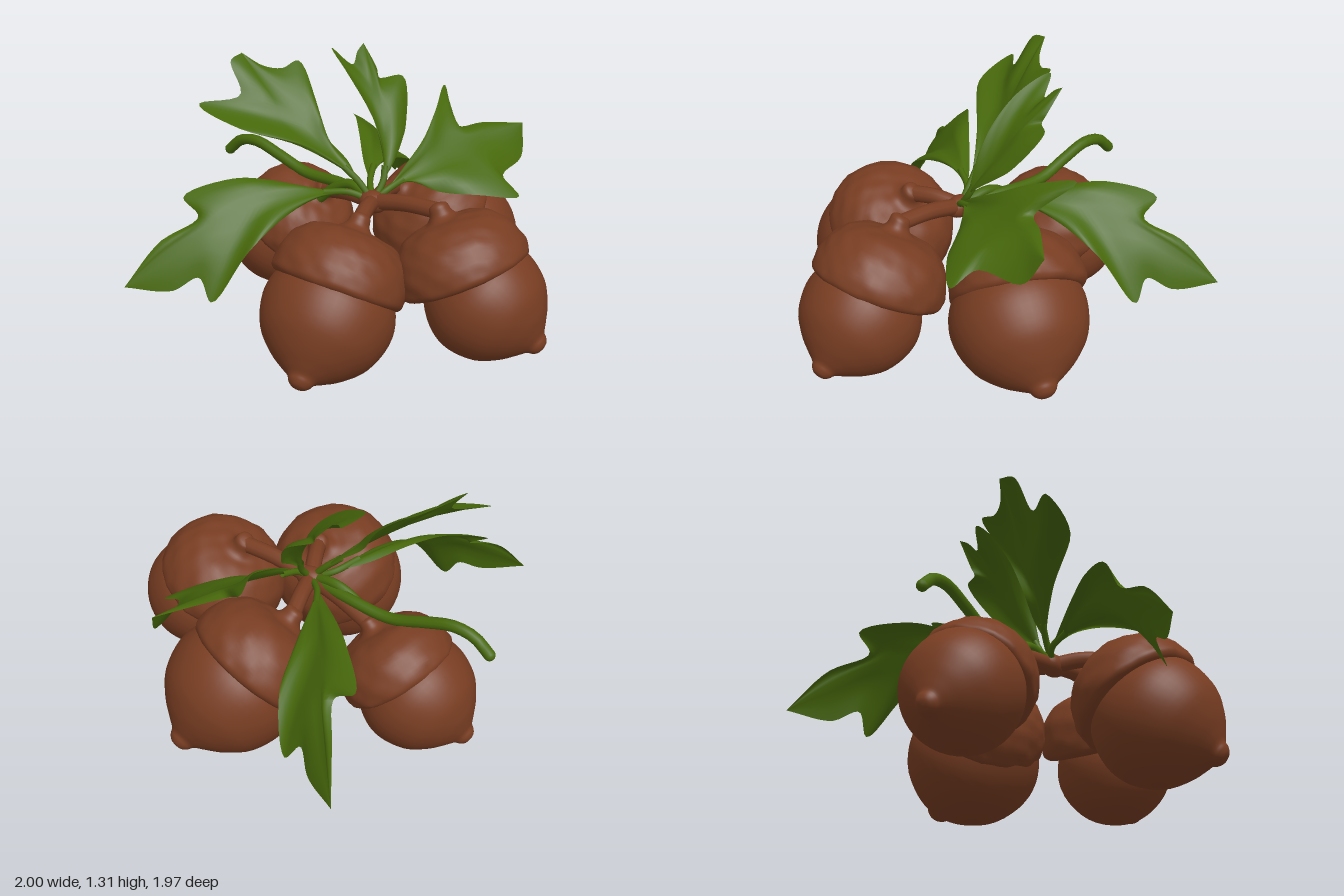
import * as THREE from 'three';
import { mergeVertices } from 'three/addons/utils/BufferGeometryUtils.js';

const brown = new THREE.MeshStandardMaterial({ name: 'acorn brown', color: 0x783d22 });
const green = new THREE.MeshStandardMaterial({ name: 'leaf green', color: 0x47680b, side: THREE.DoubleSide });
const V = (p) => new THREE.Vector3(...p);
const UP = new THREE.Vector3(0, 1, 0);
const HUB = [-0.03, 0.69, 0.03];

function add(parent, name, geometry, material) {
  const mesh = new THREE.Mesh(geometry, material);
  mesh.name = name;
  parent.add(mesh);
  return mesh;
}

// Smooth lathe; profile runs from bottom to top, "lump" roughens the surface
function turned(profile, lump = 0) {
  const curve = new THREE.SplineCurve(profile.map(([x, y]) => new THREE.Vector2(x, y)));
  const pts = curve.getPoints(44).map((p) => p.set(Math.max(p.x, 0), p.y));
  let g = new THREE.LatheGeometry(pts, 48);
  g.deleteAttribute('uv');
  g.deleteAttribute('normal');
  const pos = g.attributes.position, v = new THREE.Vector3();
  for (let i = 0; i < pos.count; i++) {
    v.fromBufferAttribute(pos, i);
    const n = Math.sin(v.x * 11 + 2 * v.y) * Math.sin(v.z * 12 + 1) * Math.sin(v.y * 13 + v.x * 5);
    v.multiplyScalar(1 + lump * n);
    pos.setXYZ(i, v.x, v.y, v.z);
  }
  g = mergeVertices(g, 1e-4);
  g.computeVertexNormals();
  return g;
}

// Egg-shaped nut with a blunt point, and a cap with a dimpled crown and flared neck
const nutGeometry = turned([[0, -0.98], [0.4, -0.91], [0.72, -0.7], [0.95, -0.33], [1, 0.05], [0.86, 0.48],
  [0.6, 0.77], [0.36, 0.94], [0.22, 1.03], [0.17, 1.11], [0.1, 1.17], [0, 1.19]]);
const capGeometry = turned([[0.8, -0.1], [0.95, -0.1], [1.03, -0.04], [1.05, 0.06], [1.03, 0.25], [0.92, 0.52],
  [0.7, 0.75], [0.45, 0.84], [0.27, 0.87], [0.18, 0.96], [0.14, 1.1], [0, 1.13]], 0.02);

// Place a unit part so that its +y axis points along dir
function place(mesh, center, dir, size) {
  mesh.position.set(...center);
  mesh.quaternion.setFromUnitVectors(UP, V(dir).normalize());
  mesh.scale.setScalar(size);
}

// Tube through points
function stem(parent, name, points, radius, material) {
  const curve = new THREE.CatmullRomCurve3(points.map(V));
  return add(parent, name, new THREE.TubeGeometry(curve, 24, radius, 10), material);
}

// Acorn: nut towards its tip, cap on its own axis, and a stalk to the hub
function acorn(parent, name, a) {
  const group = new THREE.Group();
  group.name = name;
  place(add(group, 'nut', nutGeometry, brown), a.nut, a.tip, a.nutSize);
  place(add(group, 'cap', capGeometry, brown), a.cap, a.pole, a.capSize);
  const pole = V(a.pole).normalize();
  const neck = V(a.cap).addScaledVector(pole, a.capSize);
  const mid = neck.clone().lerp(V(HUB), 0.5).add(new THREE.Vector3(0, 0.015, 0));
  stem(group, 'stalk', [neck.toArray(), mid.toArray(), HUB], 0.04, brown);
  parent.add(group);
}

// Leaf blade: two lobed edges joined across a curved midrib
function leaf(parent, name, { base, tip, bend, left, right }, mirror = 1) {
  const m = (p) => V(p).multiply(new THREE.Vector3(mirror, 1, 1));
  const edge = (pts) => new THREE.CatmullRomCurve3([base, ...pts, tip].map(m), false, 'centripetal');
  const L = edge(left), R = edge(right);
  const M = new THREE.QuadraticBezierCurve3(m(base), m(bend), m(tip));
  const lift = L.getPoint(0.5).sub(R.getPoint(0.5)).cross(m(tip).sub(m(base))).normalize();
  if (lift.y < 0) lift.negate();
  const rows = 40, cols = 8, verts = [], index = [];
  for (let i = 0; i <= rows; i++) {
    const t = i / rows, l = L.getPoint(t), r = R.getPoint(t), c = M.getPoint(t ** 1.4);
    for (let j = 0; j <= cols; j++) {
      const s = (2 * j) / cols - 1, k = Math.abs(s);
      const p = c.clone().lerp(s < 0 ? l : r, k);
      p.addScaledVector(lift, 0.025 * Math.sin(Math.PI * k) * Math.sin(Math.PI * t));
      verts.push(p.x, p.y, p.z);
      if (i < rows && j < cols) {
        const a = i * (cols + 1) + j, b = a + cols + 1;
        index.push(a, a + 1, b, a + 1, b + 1, b);
      }
    }
  }
  const g = new THREE.BufferGeometry();
  g.setAttribute('position', new THREE.Float32BufferAttribute(verts, 3));
  g.setIndex(index);
  g.computeVertexNormals();
  const group = new THREE.Group();
  group.name = name;
  add(group, 'blade', g, green);
  stem(group, 'petiole', [HUB, m(base).toArray(), M.getPoint(0.12).toArray()], 0.016, green);
  parent.add(group);
}

export function createModel() {
  const model = new THREE.Group();
  model.name = 'acornCluster';

  acorn(model, 'frontAcorn', { nut: [-0.02, 0.365, 0.68], tip: [0.04, -0.18, 0.29], nutSize: 0.29,
    cap: [-0.03, 0.48, 0.56], pole: [0, 0.88, -0.47], capSize: 0.305 });
  acorn(model, 'rightAcorn', { nut: [-0.53, 0.325, 0.14], tip: [-0.28, -0.2, 0.06], nutSize: 0.315,
    cap: [-0.44, 0.45, 0.13], pole: [0.55, 0.82, 0], capSize: 0.305 });
  acorn(model, 'leftAcorn', { nut: [0.5, 0.34, 0.15], tip: [0.31, -0.21, 0.13], nutSize: 0.33,
    cap: [0.43, 0.45, 0.09], pole: [-0.62, 0.68, -0.38], capSize: 0.31 });
  acorn(model, 'backAcorn', { nut: [0.06, 0.32, -0.62], tip: [0, -0.18, -0.3], nutSize: 0.285,
    cap: [0.06, 0.41, -0.52], pole: [0, 0.75, 0.62], capSize: 0.275 });

  // Hub where the stalks meet
  const hub = add(model, 'hub', new THREE.SphereGeometry(0.055, 20, 14), brown);
  hub.position.set(...HUB);
  hub.scale.z = 1.4;

  // Drooping side leaves, mirrored
  const sideLeaf = {
    base: [0.08, 0.73, -0.07], tip: [1, 0.41, -0.69], bend: [0.6, 0.88, -0.36],
    left: [[0.25, 0.74, -0.14], [0.45, 0.7, -0.18], [0.66, 0.59, -0.22], [0.8, 0.36, -0.33],
      [0.79, 0.46, -0.41], [0.88, 0.4, -0.5]],
    right: [[0.2, 0.76, -0.2], [0.35, 0.82, -0.34], [0.48, 0.84, -0.46], [0.66, 0.77, -0.61],
      [0.67, 0.7, -0.51], [0.84, 0.61, -0.6]],
  };
  leaf(model, 'leftSideLeaf', sideLeaf);
  leaf(model, 'rightSideLeaf', sideLeaf, -1);

  // Leaf spreading to the front left
  leaf(model, 'frontLeaf', {
    base: [0.02, 0.74, 0.07], tip: [0.82, 0.9, 0.34], bend: [0.42, 0.9, 0.2],
    left: [[0.14, 0.83, 0.09], [0.3, 0.92, 0.09], [0.46, 1.01, 0.05], [0.66, 1.07, -0.03],
      [0.55, 0.92, 0.12], [0.66, 0.92, 0.2]],
    right: [[0.12, 0.77, 0.14], [0.2, 0.72, 0.26], [0.3, 0.71, 0.42], [0.46, 0.68, 0.55],
      [0.5, 0.74, 0.43], [0.74, 0.76, 0.39]],
  });

  // Two upright leaves
  leaf(model, 'tallBackLeaf', {
    base: [-0.04, 0.78, -0.05], tip: [-0.15, 1.33, -0.67], bend: [-0.13, 1.04, -0.34],
    left: [[-0.08, 0.84, -0.12], [-0.22, 0.97, -0.28], [-0.41, 1.07, -0.47], [-0.42, 1.14, -0.71],
      [-0.27, 1.17, -0.58], [-0.23, 1.31, -0.67]],
    right: [[-0.02, 0.86, -0.13], [-0.03, 0.96, -0.25], [0, 1.1, -0.33], [0.06, 1.27, -0.49],
      [-0.03, 1.25, -0.52], [-0.1, 1.27, -0.58]],
  });
  leaf(model, 'tallFrontLeaf', {
    base: [0.04, 0.78, 0.04], tip: [0.32, 1.33, -0.29], bend: [0.16, 1.04, 0],
    left: [[0.06, 0.9, 0.02], [0.07, 1.08, -0.05], [0.1, 1.25, -0.22], [0.17, 1.33, -0.37],
      [0.22, 1.25, -0.28], [0.27, 1.3, -0.29]],
    right: [[0.1, 0.84, 0.05], [0.2, 0.92, 0.03], [0.28, 0.99, 0], [0.39, 1.18, -0.1],
      [0.3, 1.18, -0.18], [0.31, 1.22, -0.2]],
  });

  // Curling main twig and its closed end, plus a short shoot to the back acorn
  stem(model, 'twig', [HUB, [0.03, 0.7, -0.2], [0.05, 0.69, -0.45], [0.05, 0.74, -0.62], [0.05, 0.78, -0.77],
    [0.05, 0.76, -0.88], [0.05, 0.69, -0.96]], 0.028, green);
  const end = add(model, 'twigEnd', new THREE.SphereGeometry(0.028, 12, 8), green);
  end.position.set(0.05, 0.69, -0.96);
  stem(model, 'shoot', [HUB, [0, 0.73, -0.12], [0, 0.69, -0.22], [0, 0.6, -0.32]], 0.024, green);
  return model;
}
